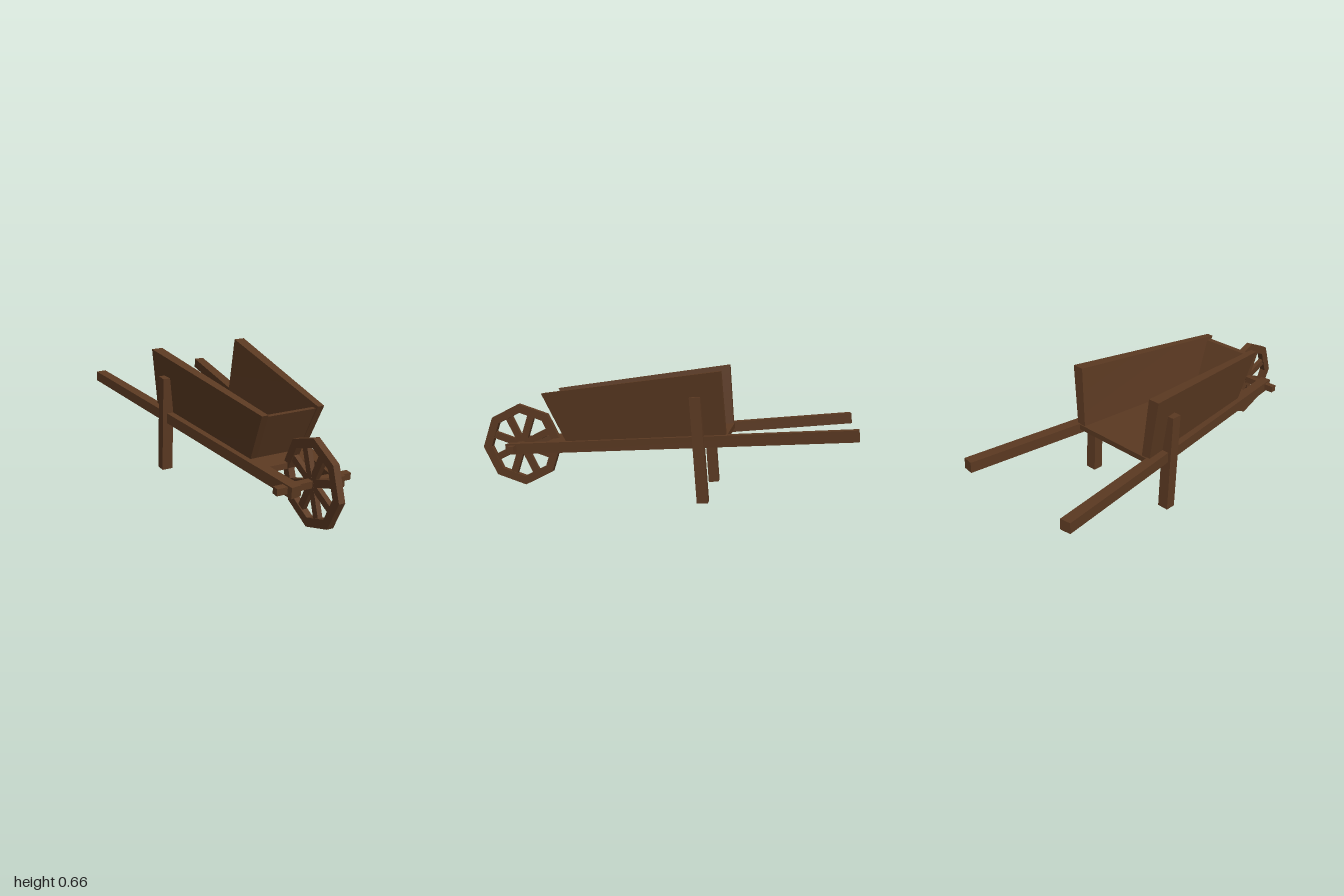
import * as THREE from 'three';

const wood = new THREE.MeshStandardMaterial({ color: 0x5c3a22 });
wood.name = 'brown wood';
const TILT = 0.082; // slope of the frame, rising to the rear

function add(parent, name, geometry) {
  const mesh = new THREE.Mesh(geometry, wood);
  mesh.name = name;
  parent.add(mesh);
  return mesh;
}

// Box whose eight corners are placed by a rule on the corner signs
function plank(corner) {
  const g = new THREE.BoxGeometry(2, 2, 2);
  const p = g.attributes.position;
  for (let i = 0; i < p.count; i++) {
    p.setXYZ(i, ...corner(p.getX(i) > 0, p.getY(i) > 0, p.getZ(i) > 0));
  }
  g.computeVertexNormals();
  return g;
}

// Square beam running between two points
function beam(parent, name, a, b, size) {
  const mesh = add(parent, name, new THREE.BoxGeometry(size, size, a.distanceTo(b)));
  mesh.position.copy(a).add(b).multiplyScalar(0.5);
  mesh.lookAt(b);
}

function octagon(path, r) {
  for (let i = 0; i < 8; i++) {
    const a = (i * Math.PI) / 4;
    if (i) path.lineTo(r * Math.cos(a), r * Math.sin(a));
    else path.moveTo(r, 0);
  }
  path.closePath();
  return path;
}

function createWheel() {
  const wheel = new THREE.Group();
  wheel.name = 'wheel';
  // Eight-sided rim
  const shape = octagon(new THREE.Shape(), 0.2235);
  shape.holes.push(octagon(new THREE.Path(), 0.176));
  const rim = new THREE.ExtrudeGeometry(shape, { depth: 0.034, bevelEnabled: false });
  rim.translate(0, 0, -0.017).rotateY(Math.PI / 2);
  add(wheel, 'rim', rim);
  // Four crossing bars make eight spokes
  for (let i = 0; i < 4; i++) {
    const bar = add(wheel, 'spokes', new THREE.BoxGeometry(0.024 + i * 0.0006, 0.36, 0.038));
    bar.rotation.x = Math.PI / 8 + (i * Math.PI) / 4;
  }
  // Axle
  add(wheel, 'axle', new THREE.BoxGeometry(0.406, 0.035, 0.035));
  wheel.position.set(0.001, 0.228, 0.78);
  wheel.rotation.x = TILT;
  return wheel;
}

export function createModel() {
  const barrow = new THREE.Group();
  barrow.name = 'wheelbarrow';
  const body = new THREE.Group();
  body.name = 'body';
  body.position.x = 0.003;
  barrow.add(body);

  for (const s of [1, -1]) {
    const side = s > 0 ? 'left' : 'right';

    // Long shaft from the axle to the handle
    beam(body, side + 'Handle',
      new THREE.Vector3(s * 0.118, 0.221, 0.822),
      new THREE.Vector3(s * 0.338, 0.371, -0.995), 0.056);

    // Leg
    const leg = add(body, side + 'Leg', new THREE.BoxGeometry(0.06, 0.529, 0.055));
    leg.position.set(s * 0.263, 0.268, -0.228);
    leg.rotation.x = TILT;

    // Flared side board
    add(body, side + 'SideBoard', plank((px, top, front) => {
      const outer = px === s > 0;
      if (front) {
        return top ? [s * (outer ? 0.172 : 0.137), 0.526, 0.615]
          : [s * (outer ? 0.155 : 0.12), 0.265, 0.484];
      }
      return top ? [s * (outer ? 0.286 : 0.226), 0.661, -0.332]
        : [s * (outer ? 0.249 : 0.199), 0.33, -0.36];
    }));
  }

  // Tapered floor
  add(body, 'floor', plank((px, top, front) => [
    (px ? 1 : -1) * (front ? 0.13 : 0.25),
    (front ? 0.267 : 0.344) - (top ? 0 : 0.03),
    front ? 0.598 : -0.365,
  ]));

  // Leaning front board
  add(body, 'frontBoard', plank((px, top, front) => [
    (px ? 1 : -1) * (top ? 0.142 : 0.128),
    top ? 0.513 : 0.27,
    (top ? 0.57 : 0.457) + (front ? 0.028 : 0),
  ]));

  body.add(createWheel());
  return barrow;
}
